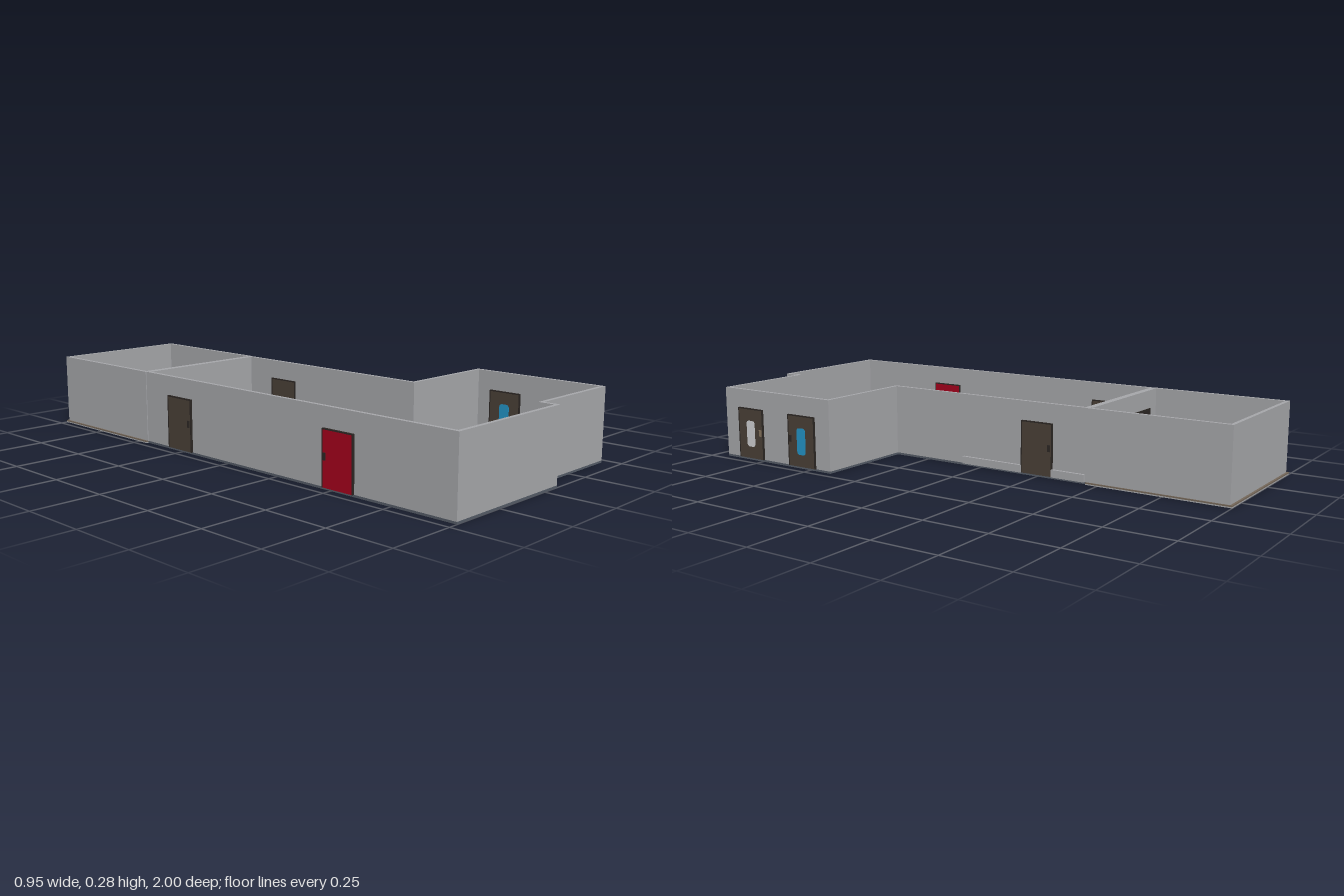
import * as THREE from 'three';

const mat = (name, color, side = THREE.FrontSide) => {
  const m = new THREE.MeshStandardMaterial({ color, side });
  m.name = name;
  return m;
};

export function createModel() {
  const root = new THREE.Group();
  root.name = 'floorPlan';
  const wall = mat('wallGray', 0xa6a7aa);
  const slate = mat('slateFloor', 0x555c67);
  const brown = mat('brownFloor', 0x75685a);
  const wood = mat('darkWood', 0x4a4037);
  const black = mat('darkTrim', 0x2c2724);
  const red = mat('redPaint', 0xa5001c);
  const blue = mat('blueGlass', 0x2394c6);
  const pale = mat('paleGlass', 0xcfd0d2);
  const brass = mat('handleTan', 0x86735c);

  const add = (name, geo, m, parent = root) => {
    const mesh = new THREE.Mesh(geo, m);
    mesh.name = name;
    parent.add(mesh);
    return mesh;
  };
  // box given by its minimum and maximum corners
  const box = (name, x0, x1, y0, y1, z0, z1, m, parent) => {
    const b = add(name, new THREE.BoxGeometry(x1 - x0, y1 - y0, z1 - z0), m, parent);
    b.position.set((x0 + x1) / 2, (y0 + y1) / 2, (z0 + z1) / 2);
    return b;
  };
  // upright prism over a floor outline of [x, z] points
  const prism = (name, pts, y0, y1, m) => {
    const shape = new THREE.Shape(pts.map(([x, z]) => new THREE.Vector2(x, -z)));
    const geo = new THREE.ExtrudeGeometry(shape, { depth: y1 - y0, bevelEnabled: false });
    geo.rotateX(-Math.PI / 2);
    add(name, geo, m).position.y = y0;
  };
  const H = 0.275, F = 0.008, T = 0.014;

  // outline of the hall with its side wing, inset by d, open at the back
  const hall = (d) => [
    [-0.465 + d, -0.455], [-0.465 + d, 1 - d], [0.072 - d, 1 - d], [0.072 - d, 0.94 - d],
    [0.465 - d, 0.94 - d], [0.465 - d, 0.4 + d], [0.072 - d, 0.4 + d], [0.072 - d, -0.455]];
  // outline of the back room, inset by d, open at the front
  const room = (d) => [
    [0.076 - d, -0.455], [0.076 - d, -0.992 + d], [-0.468 + d, -0.992 + d], [-0.468 + d, -0.455]];
  const ring = (f, a, b) => [...f(a), ...f(b).reverse()];

  // floors
  prism('hallFloor', hall(0), 0, F, slate);
  box('roomFoundation', -0.474, 0.08, 0, 0.004, -1, -0.456, wall);
  box('roomFloor', -0.474, 0.08, 0.004, F + 0.001, -1, -0.456, brown);

  // walls and skirting
  prism('hallWalls', ring(hall, 0, T), F, H, wall);
  prism('roomWalls', ring(room, 0, T), F, H, wall);
  prism('hallSkirting', ring(hall, T, T + 0.004), F, 0.04, wall);
  prism('roomSkirting', ring(room, T, T + 0.004), F, 0.04, wall);
  box('outerSkirtingFront', 0.072, 0.083, F, 0.036, -0.187, 0.075, wall);
  box('outerSkirtingBack', 0.072, 0.083, F, 0.036, -0.45, -0.315, wall);

  // partition with a doorway
  const z0 = -0.468, z1 = -0.442, dx0 = -0.4, dx1 = -0.255, dh = 0.205;
  box('partitionLeft', dx1, 0.06, F, H, z0, z1, wall);
  box('partitionRight', -0.453, dx0, F, H, z0, z1, wall);
  box('partitionLintel', dx0, dx1, dh, H, z0, z1, wall);
  box('doorwayJamb', dx0, dx0 + 0.007, F, dh, z0 - 0.003, z1 + 0.003, black);
  box('doorwayJamb', dx1 - 0.007, dx1, F, dh, z0 - 0.003, z1 + 0.003, black);
  box('doorwayHead', dx0, dx1, dh - 0.007, dh, z0 - 0.003, z1 + 0.003, black);

  // rounded window pane facing +x and -x
  const pane = (w, h, t) => {
    const s = new THREE.Shape(), r = 0.014, a = w / 2, b = h / 2;
    s.moveTo(-a + r, -b).lineTo(a - r, -b).quadraticCurveTo(a, -b, a, -b + r)
      .lineTo(a, b - r).quadraticCurveTo(a, b, a - r, b)
      .lineTo(-a + r, b).quadraticCurveTo(-a, b, -a, b - r)
      .lineTo(-a, -b + r).quadraticCurveTo(-a, -b, -a + r, -b);
    const g = new THREE.ExtrudeGeometry(s, { depth: t, bevelEnabled: false, curveSegments: 5 });
    return g.translate(0, 0, -t / 2).rotateY(Math.PI / 2);
  };
  // door leaf in a wall that runs along z; knobSide is the z direction of the handle
  const door = (name, x, z, width, thick, m, glass, knobSide) => {
    const g = new THREE.Group();
    g.name = name;
    g.position.set(x, 0, z);
    root.add(g);
    const t = thick / 2, a = width / 2;
    box('leaf', -t, t, F, 0.203, -a, a, m, g);
    const e = t + 0.0008;
    for (const s of [-1, 1]) box('frameSide', -e, e, F, 0.2038, s * a - 0.002, s * a + 0.002, black, g);
    box('frameHead', -e, e, 0.2, 0.2042, -a, a, black, g);
    if (glass) add('window', pane(0.043, 0.102, thick + 0.002), glass, g).position.y = 0.105;
    const k = knobSide * (a - 0.011);
    box('handle', -t - 0.004, t + 0.004, 0.1, 0.125, k - 0.005, k + 0.005, glass === pale ? brass : black, g);
    return g;
  };
  const wx = 0.458;
  door('wingDoorFront', wx, 0.803, 0.126, 0.026, wood, pale, -1);
  door('wingDoorBack', wx, 0.537, 0.13, 0.026, wood, blue, 1);
  door('sideDoor', 0.066, -0.251, 0.128, 0.026, wood, null, -1);
  door('oppositeDoor', -0.459, -0.255, 0.128, 0.026, wood, null, 1);
  const entry = door('redDoor', -0.459, 0.535, 0.13, 0.028, red, null, -1);
  box('pushBar', 0.014, 0.018, 0.1, 0.106, -0.05, 0.05, black, entry);
  box('barPlate', 0.014, 0.019, 0.102, 0.112, -0.05, -0.035, pale, entry);
  door('openDoor', -0.382, -0.393, 0.1, 0.01, wood, pale, 1).rotation.y = -0.05;

  // desk and screen against the back wall
  box('deskTop', -0.145, 0.055, 0.082, 0.09, -0.97, -0.897, wood);
  box('deskSide', -0.145, -0.138, F, 0.082, -0.965, -0.902, wood);
  box('deskSide', 0.048, 0.055, F, 0.082, -0.965, -0.902, wood);
  box('deskBack', -0.138, 0.048, 0.03, 0.082, -0.965, -0.96, wood);
  box('screen', -0.07, 0, 0.105, 0.172, -0.957, -0.951, black);
  box('screenStand', -0.04, -0.03, 0.09, 0.11, -0.96, -0.95, black);

  return root;
}
